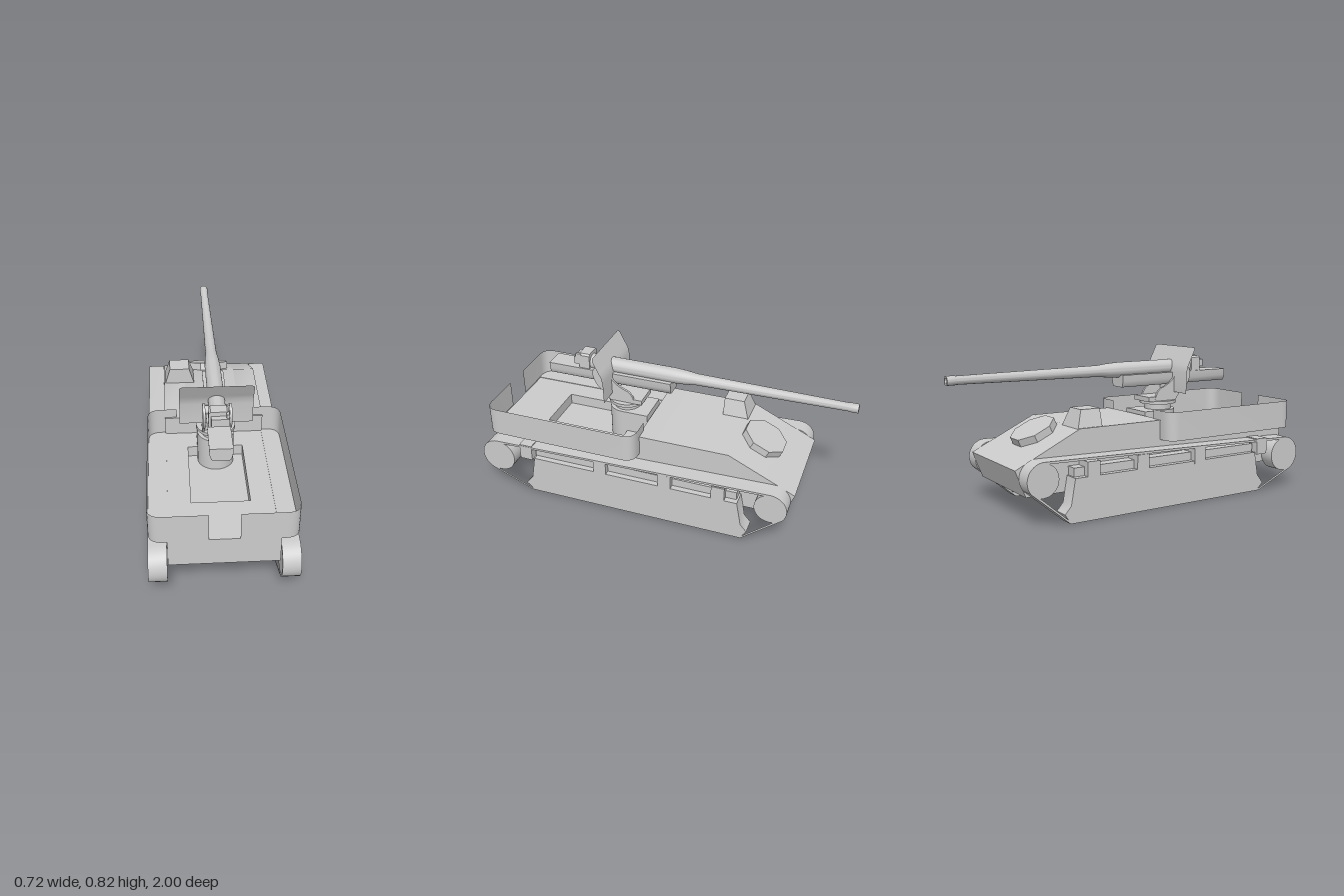
import * as THREE from 'three';
import { toCreasedNormals } from 'three/addons/utils/BufferGeometryUtils.js';

const grey = new THREE.MeshStandardMaterial({ color: 0xcccccc });
const thin = new THREE.MeshStandardMaterial({ color: 0xcccccc, side: THREE.DoubleSide });
const rad = THREE.MathUtils.degToRad;

const shapeOf = (pts) => new THREE.Shape(pts.map(([a, b]) => new THREE.Vector2(a, b)));

export function createModel() {
  const model = new THREE.Group();

  function add(name, geo, mat = grey, parent = model) {
    const mesh = new THREE.Mesh(toCreasedNormals(geo, rad(35)), mat);
    mesh.name = name;
    parent.add(mesh);
    return mesh;
  }
  // box given by its limits
  const box = (x0, x1, y0, y1, z0, z1) =>
    new THREE.BoxGeometry(x1 - x0, y1 - y0, z1 - z0).translate((x0 + x1) / 2, (y0 + y1) / 2, (z0 + z1) / 2);
  // (z, y) profile extruded across x
  const across = (shape, x0, x1) =>
    new THREE.ExtrudeGeometry(shape, { depth: x1 - x0, bevelEnabled: false, curveSegments: 16 })
      .rotateY(-Math.PI / 2).translate(x1, 0, 0);
  // (x, z) plan extruded up y
  const upward = (shape, y0, y1) =>
    new THREE.ExtrudeGeometry(shape, { depth: y1 - y0, bevelEnabled: false, curveSegments: 10 })
      .rotateX(Math.PI / 2).translate(0, y1, 0);
  // (x, y) section extruded along z
  const along = (shape, z0, z1) =>
    new THREE.ExtrudeGeometry(shape, { depth: z1 - z0, bevelEnabled: false }).translate(0, 0, z0);
  // thin sheet: place(u, v) gives the point at column u, row v
  function sheet(cols, rows, place) {
    const geo = new THREE.PlaneGeometry(1, 1, cols, rows);
    const pos = geo.attributes.position;
    for (let i = 0; i < pos.count; i++) {
      pos.setXYZ(i, ...place(i % (cols + 1), Math.floor(i / (cols + 1))));
    }
    geo.computeVertexNormals();
    return geo;
  }

  // Hull: three slices, the middle one with the crew pit
  const pit = [[0.68, 0.35], [0.68, 0.29], [0.22, 0.29], [0.22, 0.35]];
  const hull = (notch) => shapeOf([
    [-0.77, 0.28], [-0.715, 0.14], [0.85, 0.14], [0.945, 0.2], [0.945, 0.35],
    ...notch, [0.09, 0.35], [0.09, 0.45], [-0.41, 0.45],
  ]);
  add('hullRight', across(hull([]), -0.265, -0.145));
  add('hullMiddle', across(hull(pit), -0.145, 0.145));
  add('hullLeft', across(hull([]), 0.145, 0.265));

  // Open fighting compartment: overhanging floor and thin walls
  for (const s of [1, -1]) {
    const edge = new THREE.Path();
    edge.moveTo(0.073, 0.948);
    edge.lineTo(0.285, 0.948);
    edge.quadraticCurveTo(0.355, 0.948, 0.355, 0.878);
    edge.lineTo(0.355, 0.15);
    edge.quadraticCurveTo(0.355, 0.08, 0.285, 0.08);
    edge.lineTo(0.2, 0.08);
    const pts = edge.getPoints(8);
    add('compartmentWall', sheet(pts.length - 1, 1, (u, v) => [s * pts[u].x, v ? 0.35 : 0.5, pts[u].y]), thin);

    const shelf = shapeOf([[0.26, 0.948], ...pts.slice(1, -2).map((p) => [p.x, p.y]), [0.285, 0.08], [0.26, 0.08]]
      .map(([x, z]) => [s * x, z]));
    add('compartmentShelf', upward(shelf, 0.345, 0.353));
  }

  // Driver's hood: box with three sloping sides
  const hood = box(-0.26, -0.09, 0.44, 0.54, -0.42, -0.275);
  const hp = hood.attributes.position;
  for (let i = 0; i < hp.count; i++) {
    if (hp.getY(i) < 0.5) continue;
    hp.setX(i, hp.getX(i) < -0.17 ? -0.23 : -0.12);
    if (hp.getZ(i) < -0.4) hp.setZ(i, -0.385);
  }
  hood.computeVertexNormals();
  add('driverHood', hood);

  // Octagonal hatch on the sloping front plate
  const hatch = add('frontHatch', new THREE.CylinderGeometry(0.124, 0.124, 0.05, 8).rotateY(Math.PI / 8));
  hatch.position.set(0, 0.408, -0.535);
  hatch.rotation.x = -Math.atan2(0.17, 0.36);

  // Running gear, built once per side
  function trackLoop(inset) {
    const pts = [];
    const arc = (z, y, r, a0, a1) => {
      for (let i = 0; i <= 14; i++) {
        const a = rad(a0 + ((a1 - a0) * i) / 14);
        pts.push([z + (r - inset) * Math.cos(a), y + (r - inset) * Math.sin(a)]);
      }
    };
    arc(0.9, 0.19, 0.1, 90, -65);
    pts.push([0.71, inset], [-0.52, inset]);
    arc(-0.66, 0.235, 0.092, 218, 90);
    return pts;
  }
  const skirt = shapeOf([[0.7, 0.005], [0.74, 0.04], [0.7, 0.09], [0.675, 0.225],
    [-0.49, 0.225], [-0.515, 0.09], [-0.55, 0.05], [-0.52, 0.005]]);
  for (const s of [1, -1]) {
    const gear = new THREE.Group();
    gear.name = s > 0 ? 'leftRunningGear' : 'rightRunningGear';
    model.add(gear);
    const [a, b] = s > 0 ? [0.268, 0.358] : [-0.358, -0.268];

    const belt = shapeOf(trackLoop(0));
    belt.holes.push(new THREE.Path(trackLoop(0.012).map(([z, y]) => new THREE.Vector2(z, y))));
    add('trackBelt', across(belt, a, b), grey, gear);
    add('suspensionSkirt', across(skirt, a + 0.002, b - 0.002), grey, gear);
    for (const [z, y, r] of [[0.9, 0.19, 0.095], [-0.665, 0.235, 0.086]]) {
      add('endWheel', new THREE.CylinderGeometry(r, r, 0.084, 32).rotateZ(Math.PI / 2)
        .translate((a + b) / 2, y, z), grey, gear);
    }
    const inner = s * 0.262;
    const beam = [inner, s * 0.325].sort((p, q) => p - q);
    add('sideBeam', box(...beam, 0.22, 0.27, -0.48, 0.68), grey, gear);
    for (const z of [0.725, 0.28, -0.09, -0.385]) {
      add('returnBracket', box(a, b - 0.002, 0.21, 0.3, z - 0.036, z + 0.036), grey, gear);
    }
  }

  // Gun mount: U-shaped pedestal, turntable and carriage
  const plan = new THREE.Shape();
  plan.moveTo(-0.095, 0.1);
  plan.lineTo(0.095, 0.1);
  plan.lineTo(0.095, 0.25);
  plan.absarc(0, 0.25, 0.095, 0, Math.PI, false);
  plan.closePath();
  add('pedestal', upward(plan, 0.29, 0.47));
  add('turntableNeck', new THREE.CylinderGeometry(0.075, 0.075, 0.04, 32).translate(0, 0.485, 0.25));
  add('turntable', new THREE.CylinderGeometry(0.102, 0.102, 0.018, 32).translate(0, 0.511, 0.25));
  add('carriageBase', box(-0.072, 0.072, 0.518, 0.545, 0.14, 0.31));

  const arm = new THREE.Shape();
  arm.moveTo(0.32, 0.515);
  arm.lineTo(0.18, 0.515);
  arm.quadraticCurveTo(0.19, 0.57, 0.22, 0.59);
  arm.quadraticCurveTo(0.31, 0.62, 0.325, 0.68);
  arm.quadraticCurveTo(0.35, 0.725, 0.395, 0.71);
  arm.quadraticCurveTo(0.435, 0.69, 0.42, 0.64);
  arm.quadraticCurveTo(0.4, 0.58, 0.35, 0.56);
  arm.closePath();
  for (const s of [1, -1]) {
    const [a, b] = s > 0 ? [0.06, 0.073] : [-0.073, -0.06];
    add('carriageArm', across(arm, a, b));
  }
  add('trunnion', new THREE.CylinderGeometry(0.022, 0.022, 0.145, 20).rotateZ(Math.PI / 2).translate(0, 0.685, 0.375));

  // Cradle trough under the barrel
  add('cradle', along(shapeOf([[-0.057, 0.675], [-0.055, 0.64], [-0.048, 0.615], [-0.04, 0.608],
    [0.04, 0.608], [0.048, 0.615], [0.055, 0.64], [0.057, 0.675]]), -0.02, 0.69));

  // Barrel turned about the z axis: [radius, z]
  const barrel = [[0, 0.47], [0.042, 0.47], [0.042, -0.02], [0.038, -0.09], [0.031, -0.15],
    [0.022, -0.95], [0.024, -0.955], [0.024, -1], [0.015, -1], [0.015, -0.97], [0, -0.97]];
  add('barrel', new THREE.LatheGeometry(barrel.map(([r, z]) => new THREE.Vector2(r, -z)), 32)
    .rotateX(-Math.PI / 2).translate(0, 0.701, 0));

  // Breech: bevelled ring, rear block and side lever
  add('breechRing', along(shapeOf([[-0.05, 0.675], [0.05, 0.675], [0.05, 0.75], [0.04, 0.76],
    [-0.04, 0.76], [-0.05, 0.75]]), 0.45, 0.51));
  add('breechBlock', box(-0.038, 0.05, 0.695, 0.737, 0.5, 0.54));
  add('breechLever', box(0.036, 0.05, 0.735, 0.757, 0.5, 0.53));

  // Thin shield whose top leans to the rear: [z, y, half width]
  const shield = [[0.372, 0.818, 0.174], [0.366, 0.806, 0.187], [0.333, 0.74, 0.187],
    [0.32, 0.715, 0.187], [0.313, 0.68, 0.187], [0.31, 0.565, 0.187]];
  add('gunShield', sheet(1, shield.length - 1, (u, v) =>
    [(u ? 1 : -1) * shield[v][2], shield[v][1], shield[v][0]]), thin);

  return model;
}
